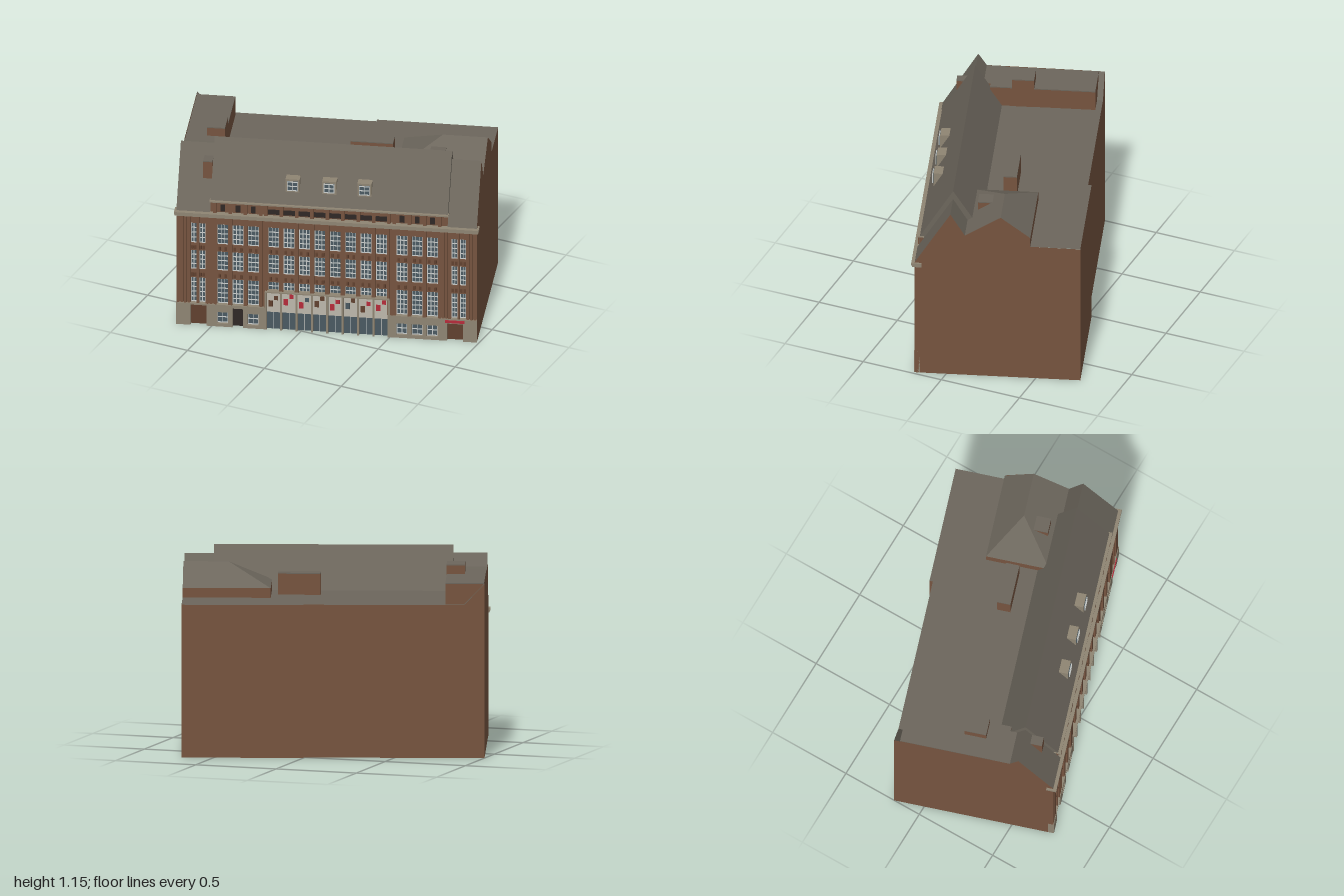
import * as THREE from 'three';
import { mergeGeometries } from 'three/addons/utils/BufferGeometryUtils.js';

export function createModel() {
  const mat = (name, color, side = THREE.FrontSide) => {
    const m = new THREE.MeshStandardMaterial({ color, side });
    m.name = name;
    return m;
  };
  const brick = mat('brick', 0x76543f, THREE.DoubleSide);
  const roof = mat('roof slate', 0x6c665c, THREE.DoubleSide);
  const stone = mat('stone', 0x8f8573);
  const glass = mat('glass', 0x4a5a62);
  const white = mat('window bars', 0xc6cac8);
  const panelMat = mat('pale panel', 0xbcb8ac);
  const red = mat('red', 0xb52a3a);
  const dark = mat('dark', 0x2f2826);
  const wood = mat('door brown', 0x60412f);

  const group = new THREE.Group();
  group.name = 'building';
  // local frame: u runs along the facade, y up, v runs back from the facade
  const house = new THREE.Group();
  house.name = 'cornerBlock';
  house.position.set(-0.70, 0, 0.735);
  house.rotation.y = 0.32;
  group.add(house);
  const W = 1.776, D = 0.955, SPLIT = 1.06, D2 = 0.975;

  // boxes gathered per part name and merged into one mesh
  const parts = new Map();
  const box = (name, material, u0, u1, y0, y1, v0, v1) => {
    const g = new THREE.BoxGeometry(u1 - u0, y1 - y0, v1 - v0);
    g.translate((u0 + u1) / 2, (y0 + y1) / 2, -(v0 + v1) / 2);
    if (!parts.has(name)) parts.set(name, { material, list: [] });
    parts.get(name).list.push(g);
  };
  // flat polygons given by [u, y, v] corners, fanned from the first corner
  const sheet = (name, material, ...polys) => {
    const pos = [];
    for (const p of polys)
      for (let i = 1; i < p.length - 1; i++)
        for (const [u, y, v] of [p[0], p[i], p[i + 1]]) pos.push(u, y, -v);
    const g = new THREE.BufferGeometry();
    g.setAttribute('position', new THREE.Float32BufferAttribute(pos, 3));
    g.computeVertexNormals();
    const m = new THREE.Mesh(g, material);
    m.name = name;
    house.add(m);
  };
  // roof strip: a [v, y] profile swept from u0 to u1
  const sweep = (name, material, u0, u1, profile) => {
    const quads = [];
    for (let i = 0; i < profile.length - 1; i++) {
      const [v0, y0] = profile[i], [v1, y1] = profile[i + 1];
      quads.push([[u0, y0, v0], [u1, y0, v0], [u1, y1, v1], [u0, y1, v1]]);
    }
    sheet(name, material, ...quads);
  };
  // upright wall across the depth, cut to a [v, y] profile
  const gable = (name, material, u, profile) => {
    const s = new THREE.Shape(profile.map(([v, y]) => new THREE.Vector2(v, y)));
    const m = new THREE.Mesh(new THREE.ShapeGeometry(s), material);
    m.name = name;
    m.position.x = u;
    m.rotation.y = Math.PI / 2;
    house.add(m);
  };

  // party walls and rear wall
  const rightProfile = [[0, 0.76], [0.21, 1.1], [0.295, 0.96], [0.506, 1.095], [0.68, 0.965], [0.68, 0.905]];
  gable('rightWall', brick, W, [[0, 0], ...rightProfile, [D2, 0.903], [D2, 0]]);
  gable('leftWall', brick, 0, [[0, 0], [0, 0.76], [0.21, 1.11], [0.26, 1.035], [D, 1.03], [D, 0]]);
  const h = 0.905;
  sheet('rearWall', brick,
    [[0, 0, D], [SPLIT, 0, D], [SPLIT, h, D], [0, h, D]],
    [[SPLIT, 0, D], [SPLIT, 0, D2], [SPLIT, h, D2], [SPLIT, h, D]],
    [[SPLIT, 0, D2], [W, 0, D2], [W, h, D2], [SPLIT, h, D2]],
    [[0, h, D], [0.12, h, D], [0, 1.03, D]]);

  // main roof, raised between two lower end roofs
  const A = 0.2, B = 1.603;
  const mainProfile = [[0.012, 0.83], [0.21, 1.155], [0.37, h]];
  sweep('mainRoof', roof, A, B, mainProfile);
  for (const u of [A, B]) gable('mainRoofEnd', roof, u, [[0.012, 0.76], ...mainProfile, [0.37, 0.76]]);
  sweep('leftRoof', roof, 0, A, [[0, 0.76], [0.21, 1.11], [0.26, 1.035], [0.37, 1.033]]);
  sweep('rightRoof', roof, B, W, rightProfile.slice(0, 4));
  sheet('flatRoof', roof,
    [[0, h, 0.36], [SPLIT, h, 0.36], [SPLIT, h, D], [0, h, D]],
    [[SPLIT, h, 0.36], [W, h, 0.36], [W, h, D2], [SPLIT, h, D2]]);

  // hipped roof at the rear right
  const hb = 0.962, a = [1.26, hb, 0.3], b = [1.26, hb, 0.68], r0 = [1.51, 1.095, 0.506], r1 = [W, 1.095, 0.506];
  sheet('rearHipRoof', roof, [a, b, r0], [b, [W, hb, 0.68], r1, r0], [a, r0, r1, [W, hb, 0.296]]);
  sheet('rearHipWalls', brick,
    [[1.26, h, 0.68], [W, h, 0.68], [W, hb, 0.68], b],
    [[1.26, h, 0.33], [1.26, h, 0.68], b, [1.26, hb, 0.33]]);

  // roof structures: brick box with a slate lid
  const roofBox = (name, u0, u1, y1, v0, v1, y0 = h) => {
    box(name, brick, u0, u1, y0, y1 - 0.006, v0, v1);
    box(name + 'Lid', roof, u0, u1, y1 - 0.006, y1, v0, v1);
  };
  roofBox('leftRearStrip', 0.003, 0.23, 1.032, 0.3, 0.92);
  roofBox('stairHead', 0.125, 0.232, 1.09, 0.43, 0.56);
  roofBox('liftHouse', 0.97, 1.22, 1.035, 0.47, 0.55);
  roofBox('hipDormer', 1.45, 1.54, 1.05, 0.35, 0.44);
  roofBox('frontChimney', 0.145, 0.2, 1.045, 0.1, 0.17, 0.93);
  sheet('rearSlope', roof, [[0, 1.03, 0.92], [0, 1.03, D], [0.12, h, D], [0.12, h, 0.92]]);

  // window with pale bars: glass at depth v
  const windowUnit = (u0, u1, y0, y1, v, cols, rows) => {
    box('windowGlass', glass, u0, u1, y0, y1, v, v + 0.006);
    const t = 0.0022;
    for (let i = 0; i <= cols; i++) {
      const u = u0 + t + (u1 - u0 - 2 * t) * i / cols;
      box('windowBars', white, u - t, u + t, y0, y1, v - 0.005, v);
    }
    for (let j = 0; j <= rows; j++) {
      const y = y0 + t + (y1 - y0 - 2 * t) * j / rows;
      box('windowBars', white, u0, u1, y - t, y + t, v - 0.005, v);
    }
  };

  // upper bays: [centre, width, kind]
  const bays = [];
  const addBays = (start, n, width, step, kind) => {
    for (let i = 0; i < n; i++) bays.push({ c: start + i * step, w: width, kind });
  };
  addBays(0.102, 2, 0.036, 0.05, 'end');
  addBays(0.273, 3, 0.066, 0.09, 'side');
  addBays(0.574, 8, 0.066, 0.091, 'centre');
  addBays(1.332, 3, 0.066, 0.09, 'side');
  addBays(1.643, 2, 0.036, 0.05, 'end');
  const P0 = 0.145, P1 = 0.735;
  const rows = [[0.145, 0.31, 5], [0.364, 0.492, 4], [0.54, 0.674, 4]];
  for (const { c, w, kind } of bays) {
    const u0 = c - w / 2, u1 = c + w / 2;
    rows.forEach(([y0, y1, n], k) => {
      const low = k === 0 && kind === 'centre' ? 0.25 : y0;
      windowUnit(u0, u1, low, y1, 0.026, kind === 'end' ? 2 : 3, low > y0 ? 2 : n);
      const top = k < 2 ? rows[k + 1][0] : P1;
      box('spandrels', brick, u0, u1, y1, top, 0.014, 0.032);
      if (k < 2) for (const s of [-0.28, 0.28])
        box('spandrelBlocks', wood, c + s * w - 0.007, c + s * w + 0.007, y1 + 0.012, y1 + 0.034, 0.006, 0.014);
    });
  }
  // piers between bays, ribbed where wide
  let edge = 0;
  for (const bay of [...bays, { c: W, w: 0, kind: 'end' }]) {
    const u1 = bay.c - bay.w / 2, gap = u1 - edge;
    const low = edge > 0.55 && u1 < 1.24 ? 0.25 : P0;
    if (gap < 0.04) box('piers', brick, edge, u1, low, P1, 0, 0.032);
    else {
      box('pierBacks', brick, edge, u1, low, P1, 0.012, 0.032);
      const n = Math.max(2, Math.round(gap / 0.022));
      for (let i = 0; i < n; i++) {
        const c = edge + gap * (i + 0.5) / n;
        box('pierRibs', brick, c - 0.008, c + 0.008, low, P1, 0, 0.012);
      }
    }
    edge = bay.c + bay.w / 2;
  }

  // cornice and attic storey
  box('cornice', stone, -0.008, W + 0.008, 0.73, 0.742, -0.014, 0.04);
  box('cornice', stone, -0.012, W + 0.012, 0.742, 0.757, -0.02, 0.04);
  box('atticWall', brick, A, B, 0.757, 0.826, 0.016, 0.04);
  box('atticCoping', stone, A - 0.005, B + 0.005, 0.826, 0.834, -0.003, 0.04);
  for (const { c, kind } of bays) {
    if (kind === 'end') continue;
    const half = kind === 'centre' ? 0.034 : 0.014;
    box('atticWindows', dark, c - half, c + half, 0.765, kind === 'centre' ? 0.795 : 0.808, 0.01, 0.016);
    for (const s of [-0.045, 0.045]) box('atticPiers', brick, c + s - 0.01, c + s + 0.01, 0.757, 0.826, 0, 0.016);
  }

  // ground floor: stone filled in around openings
  const openings = [];
  const small = c => openings.push({ u0: c - 0.032, u1: c + 0.032, y0: 0.02, y1: 0.096, kind: 'window' });
  openings.push({ u0: 0.085, u1: 0.18, y0: 0, y1: 0.135, kind: 'gate' });
  small(0.273);
  openings.push({ u0: 0.333, u1: 0.394, y0: 0, y1: 0.125, kind: 'door' });
  small(0.453);
  openings.push({ u0: 0.53, u1: 1.255, y0: 0, y1: P0, kind: 'shop' });
  [1.332, 1.422, 1.512].forEach(small);
  openings.push({ u0: 1.6, u1: 1.695, y0: 0, y1: 0.115, kind: 'gate' });
  edge = 0;
  for (const o of openings) {
    box('plinth', stone, edge, o.u0, 0, P0, -0.004, 0.032);
    if (o.y0 > 0) box('plinth', stone, o.u0, o.u1, 0, o.y0, -0.004, 0.032);
    if (o.y1 < P0) box('plinth', stone, o.u0, o.u1, o.y1, P0, -0.004, 0.032);
    if (o.kind === 'window') windowUnit(o.u0, o.u1, o.y0, o.y1, 0.016, 2, 2);
    if (o.kind === 'gate') box('gates', wood, o.u0, o.u1, 0, o.y1, 0.02, 0.03);
    if (o.kind === 'door') box('entranceDoor', dark, o.u0, o.u1, 0, o.y1, 0.02, 0.03);
    edge = o.u1;
  }
  box('plinth', stone, edge, W, 0, P0, -0.004, 0.032);
  box('redSign', red, 1.588, 1.705, 0.122, 0.138, -0.009, -0.004);

  // shopfront: glazing below, pale panels with posters above
  const posters = [wood, red, red, wood, red, glass, wood, red];
  const names = { [wood.name]: 'brownPosters', [red.name]: 'redPosters', [glass.name]: 'greyPosters' };
  box('shopCanopy', stone, 0.525, 1.26, 0.25, 0.257, -0.014, 0.03);
  for (let i = 0; i < 8; i++) {
    const c = 0.574 + i * 0.091;
    box('shopGlass', glass, c - 0.043, c + 0.043, 0, 0.118, 0.014, 0.02);
    box('shopMullions', white, c - 0.0015, c + 0.0015, 0, 0.118, 0.01, 0.014);
    box('shopPanels', panelMat, c - 0.043, c + 0.043, 0.118, 0.25, 0, 0.02);
    const up = 0.19 + 0.015 * (i % 2), p = posters[i], q = posters[(i + 3) % 8];
    box(names[p.name], p, c - 0.03, c - 0.004, up - 0.035, up + 0.005, -0.004, 0);
    box(names[q.name], q, c + 0.004, c + 0.028, up + 0.01, up + 0.036, -0.004, 0);
  }
  for (let i = 0; i <= 8; i++) {
    const c = 0.5285 + i * 0.091;
    box('shopPosts', stone, c - 0.006, c + 0.006, 0, 0.25, -0.008, 0.025);
  }

  // dormers on the main slope
  for (const c of [0.68, 0.897, 1.105]) {
    box('dormers', stone, c - 0.042, c + 0.042, 0.9, 0.985, 0.052, 0.115);
    windowUnit(c - 0.032, c + 0.032, 0.912, 0.972, 0.048, 2, 2);
  }

  for (const [name, { material, list }] of parts) {
    const m = new THREE.Mesh(mergeGeometries(list), material);
    m.name = name;
    house.add(m);
  }
  return group;
}
